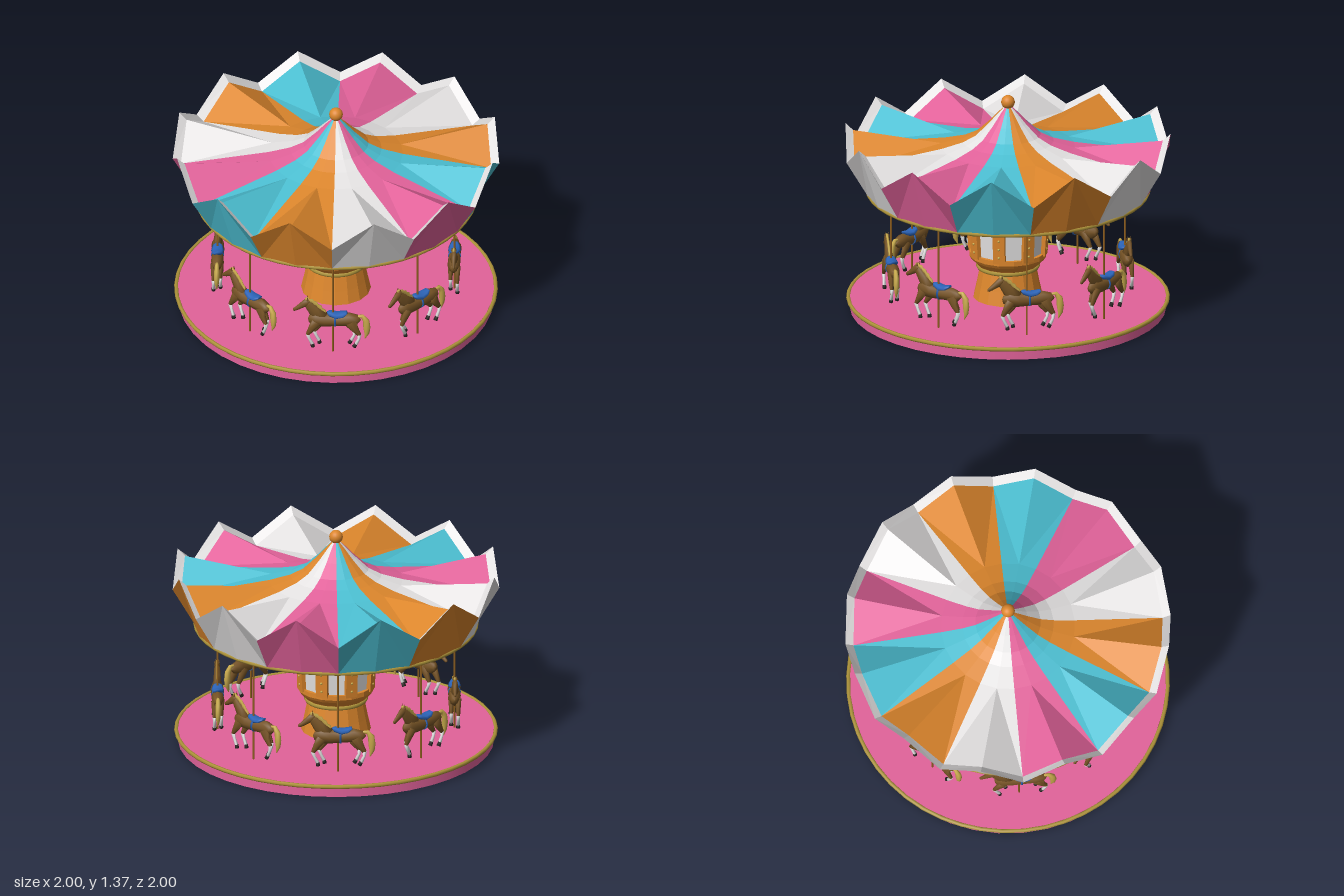
import * as THREE from 'three';

const flat = (name, color) => Object.assign(new THREE.MeshStandardMaterial({ color }), { name });
const M = {
  pink: flat('pink', 0xe2629a), teal: flat('teal', 0x4cbfd2), orange: flat('orange', 0xdc862c),
  white: flat('white', 0xe4e2e2), gold: flat('trim gold', 0xae943a), brown: flat('horse brown', 0x765325),
  mane: flat('mane yellow', 0xc8aa4c), blue: flat('saddle blue', 0x2c64b8), black: flat('hoof black', 0x2a2624),
  pole: flat('pole bronze', 0x8f5f20),
};

function add(parent, name, geo, mat, x = 0, y = 0, z = 0) {
  const m = new THREE.Mesh(geo, mat);
  m.name = name;
  m.position.set(x, y, z);
  parent.add(m);
  return m;
}

// Faceted sheet between rows of points, left to right and from the outer row inwards
function sheet(rows) {
  const p = [];
  for (let i = 0; i < rows.length - 1; i++) {
    for (let j = 0; j < rows[i].length - 1; j++) {
      const a = rows[i][j], b = rows[i][j + 1], c = rows[i + 1][j + 1], d = rows[i + 1][j];
      if (j === 0) p.push(...a, ...b, ...c, ...a, ...c, ...d);
      else p.push(...a, ...b, ...d, ...b, ...c, ...d);
    }
  }
  const g = new THREE.BufferGeometry();
  g.setAttribute('position', new THREE.Float32BufferAttribute(p, 3));
  g.computeVertexNormals();
  return g;
}

// Row across one 30 degree canopy panel: seam, middle, seam
const row = (rSeam, ySeam, rMid = rSeam, yMid = ySeam) =>
  [[-1, rSeam, ySeam], [0, rMid, yMid], [1, rSeam, ySeam]].map(([k, r, y]) =>
    [r * Math.sin(k * Math.PI / 12), y, r * Math.cos(k * Math.PI / 12)]);

// Tapered limb along a path of [x, y, half height, half width]
function limb(path, sides = 8) {
  const pos = [], idx = [];
  path.forEach(([x, y, r, w = r], i) => {
    const a = path[Math.max(i - 1, 0)], b = path[Math.min(i + 1, path.length - 1)];
    const l = Math.hypot(b[0] - a[0], b[1] - a[1]);
    const nx = -(b[1] - a[1]) / l, ny = (b[0] - a[0]) / l;
    for (let k = 0; k < sides; k++) {
      const t = k / sides * Math.PI * 2, c = Math.cos(t) * r;
      pos.push(x + nx * c, y + ny * c, Math.sin(t) * w);
      if (i < path.length - 1) {
        const n = (k + 1) % sides, s = i * sides;
        idx.push(s + k, s + n, s + sides + n, s + k, s + sides + n, s + sides + k);
      }
    }
  });
  const last = (path.length - 1) * sides;
  for (let k = 1; k < sides - 1; k++) idx.push(0, k + 1, k, last, last + k, last + k + 1);
  const g = new THREE.BufferGeometry();
  g.setAttribute('position', new THREE.Float32BufferAttribute(pos, 3));
  g.setIndex(idx);
  g.computeVertexNormals();
  return g;
}

// Galloping horse, nose towards -x
function buildHorse() {
  const h = new THREE.Group();
  add(h, 'horseBody', limb([[-.152, .31, .004], [-.145, .31, .025, .02], [-.11, .308, .05, .036], [-.05, .302, .045, .038],
    [.03, .302, .039, .036], [.1, .31, .044, .038], [.15, .308, .032, .028], [.17, .305, .004]]), M.brown);
  add(h, 'horseNeck', limb([[-.065, .32, .048, .028], [-.115, .37, .038, .022], [-.15, .415, .027, .018], [-.168, .44, .008]]), M.brown);
  add(h, 'horseHead', limb([[-.14, .44, .006], [-.158, .43, .026, .018], [-.185, .41, .021, .015], [-.22, .385, .014, .011],
    [-.238, .374, .011, .009], [-.243, .37, .003]]), M.brown);
  for (const z of [-.011, .011]) add(h, 'horseEar', new THREE.ConeGeometry(.007, .028, 5), M.brown, -.155, .46, z);
  // Jagged mane along the crest of the neck
  const crest = [];
  for (let i = 0; i <= 10; i++) {
    const t = i / 10;
    crest.push([-.17 + .125 * t, .455 - .03 * t - .075 * t * t, i % 2 ? .016 : .008, .008]);
  }
  add(h, 'horseMane', limb(crest, 6), M.mane);
  add(h, 'horseTail', limb([[.15, .33, .008], [.18, .332, .013, .012], [.203, .3, .02, .016], [.208, .25, .022, .017],
    [.208, .21, .016, .012], [.195, .17, .003]]), M.mane);
  add(h, 'saddle', limb([[-.035, .358, .004, .012], [-.02, .352, .015, .03], [.02, .338, .017, .039], [.06, .344, .016, .034],
    [.085, .358, .008, .02]]), M.blue);
  add(h, 'saddleStrap', limb([[.008, .302, .0425, .0395], [.02, .302, .0425, .0395]], 12), M.blue);

  // Legs: thigh, pale shin and hoof
  const front = [
    [[-.1, .3, .034, .02], [-.13, .25, .022, .015], [-.155, .208, .012, .011]],
    [[-.155, .21, .012], [-.145, .18, .009], [-.125, .14, .011]],
    [[-.125, .143, .011], [-.122, .12, .013]]];
  const hind = [
    [[.11, .3, .036, .02], [.135, .25, .024, .016], [.163, .208, .013, .011]],
    [[.163, .212, .013], [.16, .18, .009], [.142, .142, .011]],
    [[.143, .145, .011], [.13, .122, .013]]];
  for (const [leg, label, shift] of [[front, 'frontLeg', .04], [hind, 'hindLeg', -.03]]) {
    for (const side of [-1, 1]) {
      const dx = side < 0 ? shift : 0;
      [M.brown, M.white, M.black].forEach((mat, i) => add(h, label + ['Upper', 'Lower', 'Hoof'][i],
        limb(leg[i]), mat, dx, 0, side * .021));
    }
  }
  return h;
}

const ring = (r, tube) => new THREE.TorusGeometry(r, tube, 6, 48).rotateX(Math.PI / 2);
const lathe = (pts, n) => new THREE.LatheGeometry(pts.map(p => new THREE.Vector2(...p)), n).toNonIndexed();

export function createModel() {
  const model = new THREE.Group();
  model.name = 'carousel';

  // Platform
  add(model, 'platform', new THREE.CylinderGeometry(.968, .968, .075, 40), M.pink, 0, .0375);
  add(model, 'platformTrim', ring(.978, .013), M.gold, 0, .07);

  // Central column
  const column = new THREE.Group();
  column.name = 'column';
  model.add(column);
  const faceted = g => { g.computeVertexNormals(); return g; };
  add(column, 'columnBase', faceted(lathe([[.215, .07], [.195, .16], [.175, .26], [.19, .29], [.225, .325], [.238, .345],
    [.238, .375], [.15, .375]], 16)), M.orange);
  add(column, 'columnRing', ring(.182, .014), M.gold, 0, .275);
  add(column, 'columnCrown', faceted(lathe([[.15, .645], [.252, .645], [.258, .67], [.258, .69], [.285, .725], [.3, .768]], 16)), M.orange);
  const mirrors = new THREE.CylinderGeometry(.248, .23, .29, 8, 1, true, Math.PI / 8).toNonIndexed();
  add(column, 'mirrorPanels', faceted(mirrors), M.white, 0, .51);
  for (let i = 0; i < 8; i++) {
    const post = new THREE.Group();
    post.name = 'columnPost';
    post.rotation.y = (i + .5) * Math.PI / 4;
    column.add(post);
    const bar = add(post, 'post', new THREE.BoxGeometry(.075, .3, .03), M.orange, 0, .51, .234);
    bar.rotation.x = .06;
    for (let k = 0; k < 5; k++)
      add(post, 'stud', new THREE.SphereGeometry(.008, 8, 6), M.mane, 0, .4 + k * .055, .243 + k * .0033);
  }

  // Canopy: twelve folded panels, each with valance, pale lip and roof
  const valance = sheet([row(.87, .77), row(1, .99, 1, 1.16)]);
  const inner = sheet([row(1, .99, 1, 1.16), row(.95, .955, .953, 1.115)]);
  const roof = sheet([row(.95, .955, .953, 1.115), row(.41, 1.05), row(.28, 1.085), row(.2, 1.125), row(.12, 1.2),
    row(.06, 1.265), row(.005, 1.32)]);
  const colours = [M.teal, M.orange, M.white, M.pink];
  for (let i = 0; i < 12; i++) {
    const panel = new THREE.Group();
    panel.name = 'canopyPanel';
    panel.rotation.y = i * Math.PI / 6;
    model.add(panel);
    add(panel, 'valance', valance, colours[i % 4]);
    add(panel, 'valanceLip', inner, M.white);
    add(panel, 'roof', roof, colours[i % 4]);
  }
  add(model, 'ceiling', new THREE.CylinderGeometry(.865, .865, .006, 24), M.white, 0, .77);
  add(model, 'canopyTrim', ring(.862, .012), M.gold, 0, .768);
  add(model, 'finial', new THREE.SphereGeometry(.042, 20, 14), M.orange, 0, 1.332);

  // Eight horses on poles, each under a ceiling beam
  const horse = buildHorse();
  for (let i = 0; i < 8; i++) {
    const mount = new THREE.Group();
    mount.name = 'horseMount';
    mount.rotation.y = i * Math.PI / 4;
    model.add(mount);
    const h = horse.clone();
    h.name = 'horse';
    h.position.z = .725;
    mount.add(h);
    add(mount, 'pole', new THREE.CylinderGeometry(.006, .006, .7, 8), M.pole, 0, .42, .725);
    add(mount, 'ceilingBeam', new THREE.BoxGeometry(.016, .012, .58), M.gold, 0, .763, .575);
  }
  return model;
}
